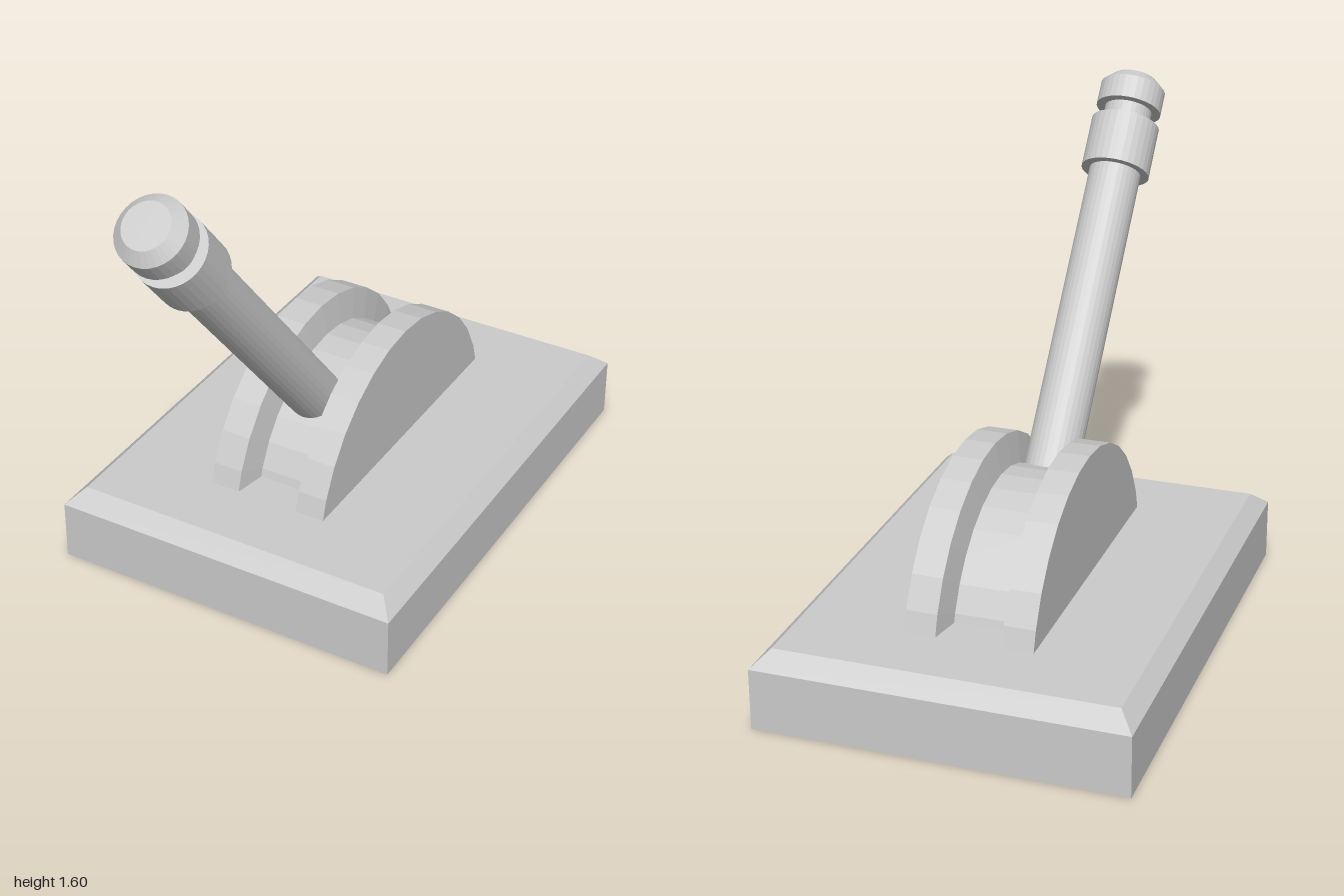
import * as THREE from 'three';

const material = new THREE.MeshStandardMaterial({ color: 0xcccccc, flatShading: true });

function addPart(parent, name, geometry) {
  const mesh = new THREE.Mesh(geometry, material);
  mesh.name = name;
  parent.add(mesh);
  return mesh;
}

// Turn a list of [radius, height] pairs, running bottom to top, into a lathe
function turned(profile, segments = 32, start = 0, length = Math.PI * 2) {
  const points = profile.map(([r, y]) => new THREE.Vector2(r, y));
  return new THREE.LatheGeometry(points, segments, start, length);
}

// Slab with a chamfered upper rim
function baseGeometry() {
  const width = 1.18, depth = 1.625, rim = 0.2, top = 0.25;
  const geometry = new THREE.BoxGeometry(width, 2, depth, 1, 2, 1);
  const pos = geometry.attributes.position;
  for (let i = 0; i < pos.count; i++) {
    const level = Math.round(pos.getY(i)) + 1; // 0 floor, 1 rim, 2 top
    pos.setY(i, [0, rim, top][level]);
    if (level === 2) {
      pos.setX(i, pos.getX(i) - Math.sign(pos.getX(i)) * 0.05);
      pos.setZ(i, pos.getZ(i) - Math.sign(pos.getZ(i)) * 0.06);
    }
  }
  geometry.computeVertexNormals();
  return geometry;
}

export function createModel() {
  const model = new THREE.Group();
  model.name = 'lever';

  addPart(model, 'base', baseGeometry()).position.z = -0.1875;

  // Grooved wheel: only the arc that rises out of the base
  const outer = 0.557, inner = 0.455;
  const step = Math.PI / 16;
  const wheel = addPart(model, 'groovedWheel', turned([
    [0, -0.205], [outer, -0.205], [outer, -0.105], [inner, -0.085],
    [inner, 0.085], [outer, 0.105], [outer, 0.205], [0, 0.205],
  ], 14, step, 14 * step));
  wheel.rotation.z = Math.PI / 2;
  wheel.position.set(0, 0.103, -0.19);

  // Handle leaning forward, its origin at the underside of the collar
  const handle = new THREE.Group();
  handle.name = 'handle';
  handle.position.set(0, 1.292, 0.718);
  handle.rotation.x = THREE.MathUtils.degToRad(40);
  model.add(handle);

  addPart(handle, 'shaft', turned([[0, -1.13], [0.087, -1.13], [0.087, 0.01], [0, 0.01]]));
  addPart(handle, 'collar', turned([[0, 0], [0.115, 0], [0.115, 0.177], [0, 0.177]]));
  addPart(handle, 'neck', turned([[0.08, 0.17], [0.08, 0.24]]));
  addPart(handle, 'knob', turned([[0, 0.23], [0.11, 0.23], [0.11, 0.31], [0.074, 0.345], [0, 0.345]]));

  return model;
}
